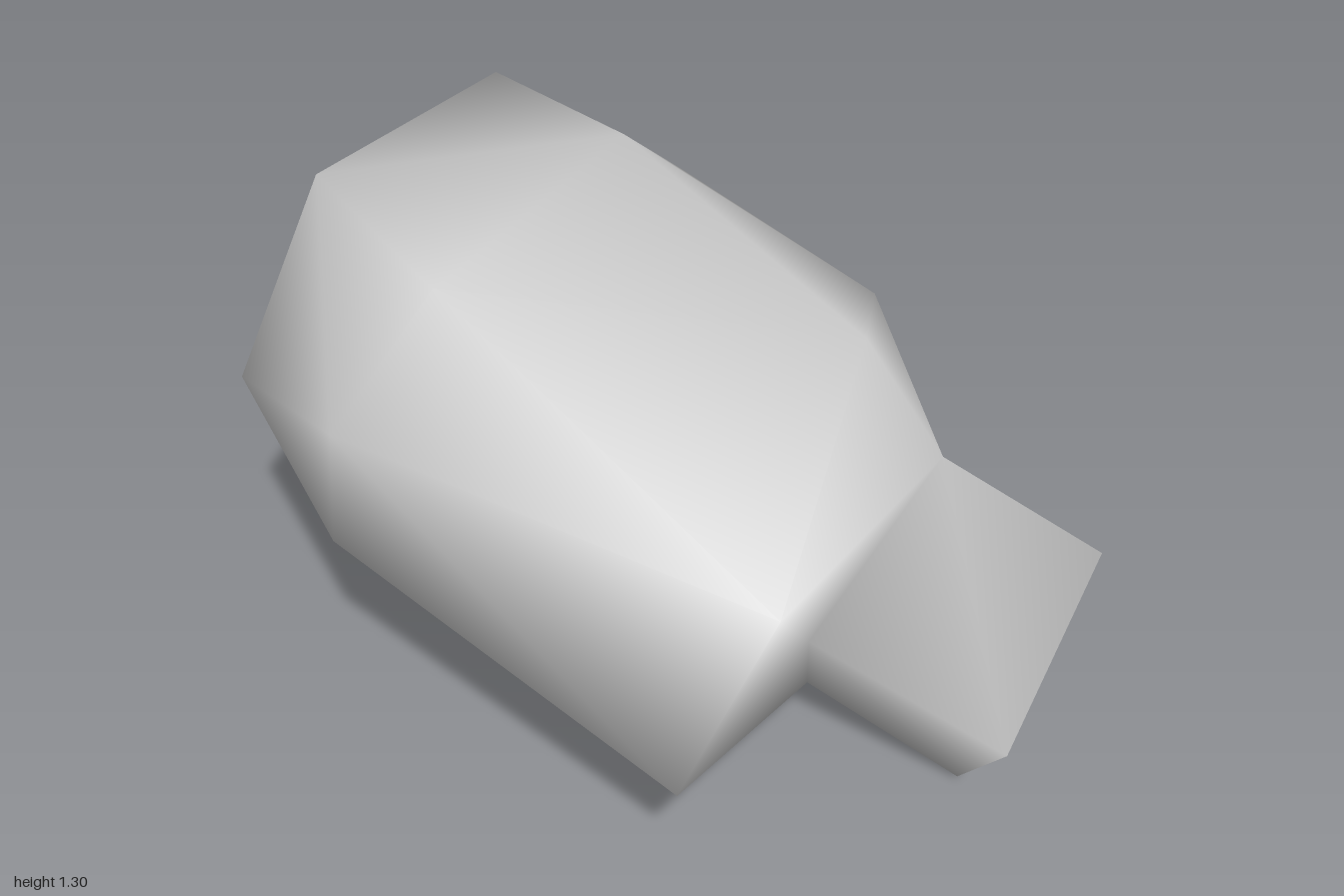
import * as THREE from 'three';
import { ConvexGeometry } from 'three/addons/geometries/ConvexGeometry.js';

const points = (list) => list.map((p) => new THREE.Vector3(...p));

// Corners of the faceted body
const body = points([
  [-0.61, 1.3, -0.47], [0.09, 1.29, -0.35], [-0.52, 1.25, 0], [0.38, 1.03, 0.29],
  [0, 1.205, -0.9], [0.47, 0.86, -0.79], [0.77, 0.68, -0.31], [-0.15, 0.875, 0.885],
  [-0.785, 0.97, 0.03], [-0.815, 0.76, -0.55], [-0.77, 0.59, -0.08], [-0.25, 0.53, -1],
  [0.3, 0.43, -0.845], [0.61, 0.24, -0.37], [-0.34, 0.4, 0.81], [-0.31, 0.26, -0.5],
  [0.01, 0.09, 0.15],
]);

// Neck loop and end loop of the stub, both anticlockwise seen from its end
const neck = points([[0.07, 0.53, 0.63], [0.22, 0.14, 0.38], [0.61, 0.385, 0.27], [0.48, 0.8, 0.48]]);
const tip = points([[0.36, 0.385, 1], [0.46, 0, 0.69], [0.81, 0.29, 0.44], [0.71, 0.67, 0.79]]);

function lumpGeometry() {
  const vertices = [...body, ...neck, ...tip];
  const n0 = body.length;
  const t0 = n0 + neck.length;
  const index = [];

  // Skin the body as a hull; the neck is pulled outwards only while finding the faces
  const pull = new THREE.Vector3(0.085, -0.045, 0.1);
  const cage = [...body, ...neck.map((p) => p.clone().add(pull))];
  const hull = new ConvexGeometry(cage).getAttribute('position');
  const corner = new THREE.Vector3();
  const nearest = (i) => {
    corner.fromBufferAttribute(hull, i);
    let best = 0;
    cage.forEach((p, j) => {
      if (p.distanceToSquared(corner) < cage[best].distanceToSquared(corner)) best = j;
    });
    return best;
  };
  for (let i = 0; i < hull.count; i += 3) {
    const face = [nearest(i), nearest(i + 1), nearest(i + 2)];
    // Leave the neck open where the stub grows out
    if (!face.every((v) => v >= n0)) index.push(...face);
  }

  // Stub walls and end cap
  for (let i = 0; i < 4; i++) {
    const j = (i + 1) % 4;
    index.push(n0 + i, n0 + j, t0 + j, n0 + i, t0 + j, t0 + i);
  }
  index.push(t0, t0 + 1, t0 + 2, t0, t0 + 2, t0 + 3);

  const geometry = new THREE.BufferGeometry().setFromPoints(vertices);
  geometry.setIndex(index);
  geometry.computeVertexNormals();
  return geometry;
}

export function createModel() {
  const stone = new THREE.MeshStandardMaterial({ color: 0xcccccc });
  stone.name = 'light grey';

  const lump = new THREE.Mesh(lumpGeometry(), stone);
  lump.name = 'bodyWithStub';

  const model = new THREE.Group();
  model.name = 'lump';
  model.add(lump);
  return model;
}
